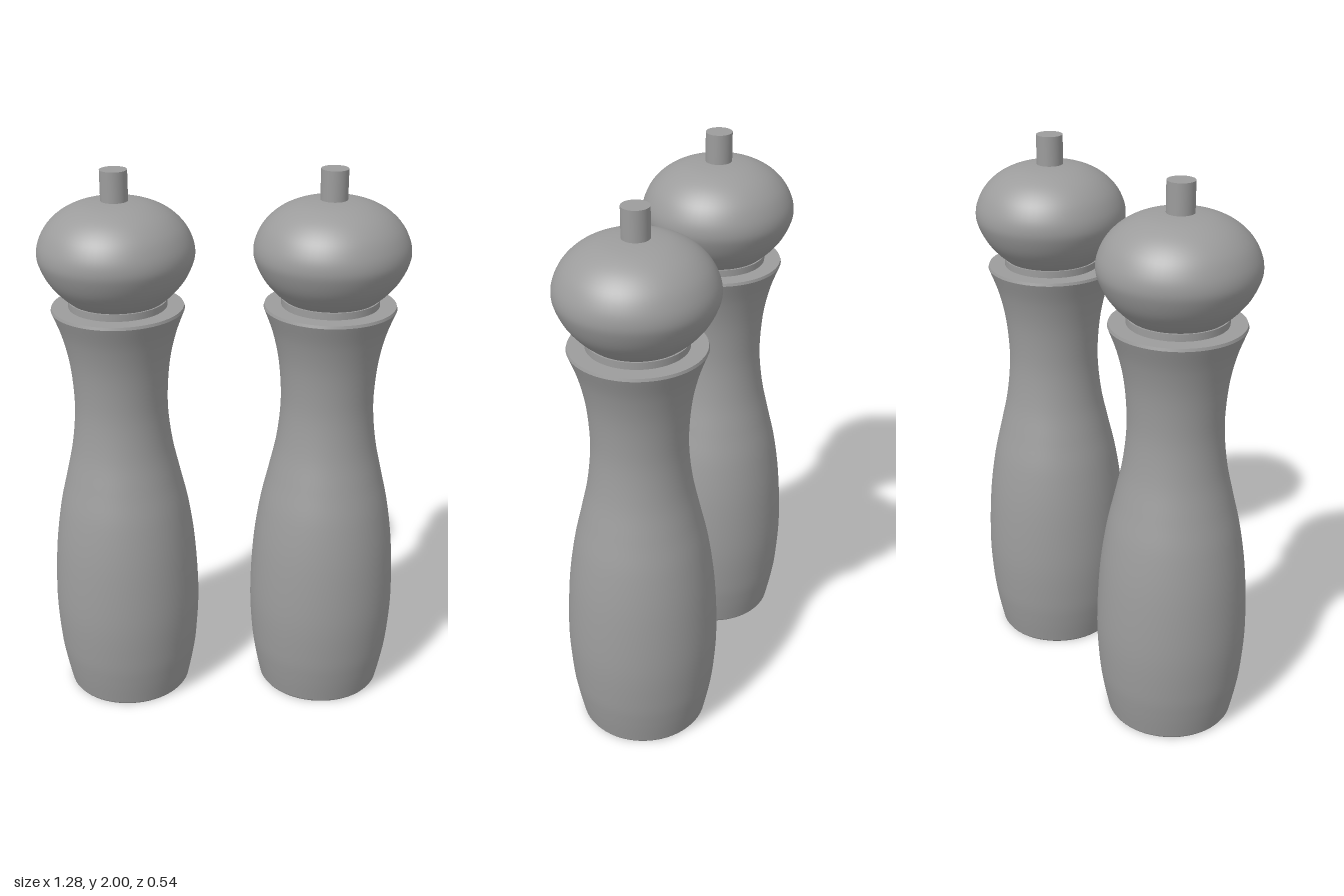
import * as THREE from 'three';
import { mergeGeometries } from 'three/addons/utils/BufferGeometryUtils.js';

const material = new THREE.MeshStandardMaterial({ color: 0x9c9c9c });
const SEGMENTS = 64;

// Smooth profile through a few [radius, height] points
function smooth(points, divisions) {
  return new THREE.SplineCurve(points.map(p => new THREE.Vector2(...p))).getPoints(divisions);
}

// Straight profile pieces, one per edge so that every corner stays sharp
function straight(...points) {
  return points.slice(1).map((p, i) => [new THREE.Vector2(...points[i]), new THREE.Vector2(...p)]);
}

// Turned part: each run is smooth, with a crease between runs
function turned(name, runs) {
  const mesh = new THREE.Mesh(mergeGeometries(runs.map(r => new THREE.LatheGeometry(r, SEGMENTS))), material);
  mesh.name = name;
  return mesh;
}

function createMill(name, x) {
  const mill = new THREE.Group();
  mill.name = name;
  mill.position.x = x;

  // Waisted body with a recessed base and a flat, slightly bevelled top
  mill.add(turned('body', [
    ...straight([0, 0.045], [0.211, 0.045], [0.211, 0], [0.224, 0], [0.228, 0.006]),
    smooth([[0.228, 0.006], [0.247, 0.1], [0.261, 0.2], [0.27, 0.37], [0.26, 0.58], [0.237, 0.75],
      [0.208, 0.88], [0.182, 1.0], [0.168, 1.12], [0.168, 1.22], [0.179, 1.33], [0.202, 1.43], [0.233, 1.515]], 72),
    ...straight([0.233, 1.515], [0.23, 1.525], [0, 1.525]),
  ]));

  // Short collar between body and head
  mill.add(turned('collar', straight([0.172, 1.52], [0.172, 1.55], [0, 1.55])));

  // Rounded head
  mill.add(turned('head', [
    ...straight([0, 1.545], [0.16, 1.545]),
    smooth([[0.16, 1.545], [0.2, 1.58], [0.237, 1.625], [0.262, 1.675], [0.271, 1.715], [0.263, 1.76],
      [0.236, 1.81], [0.19, 1.853], [0.13, 1.882], [0.065, 1.894], [0, 1.896]], 48),
  ]));

  // Pin on top of the head
  mill.add(turned('topPin', straight([0.047, 1.88], [0.047, 2], [0, 2])));
  return mill;
}

export function createModel() {
  const model = new THREE.Group();
  model.name = 'millPair';
  model.add(createMill('leftMill', 0.37), createMill('rightMill', -0.37));
  return model;
}
